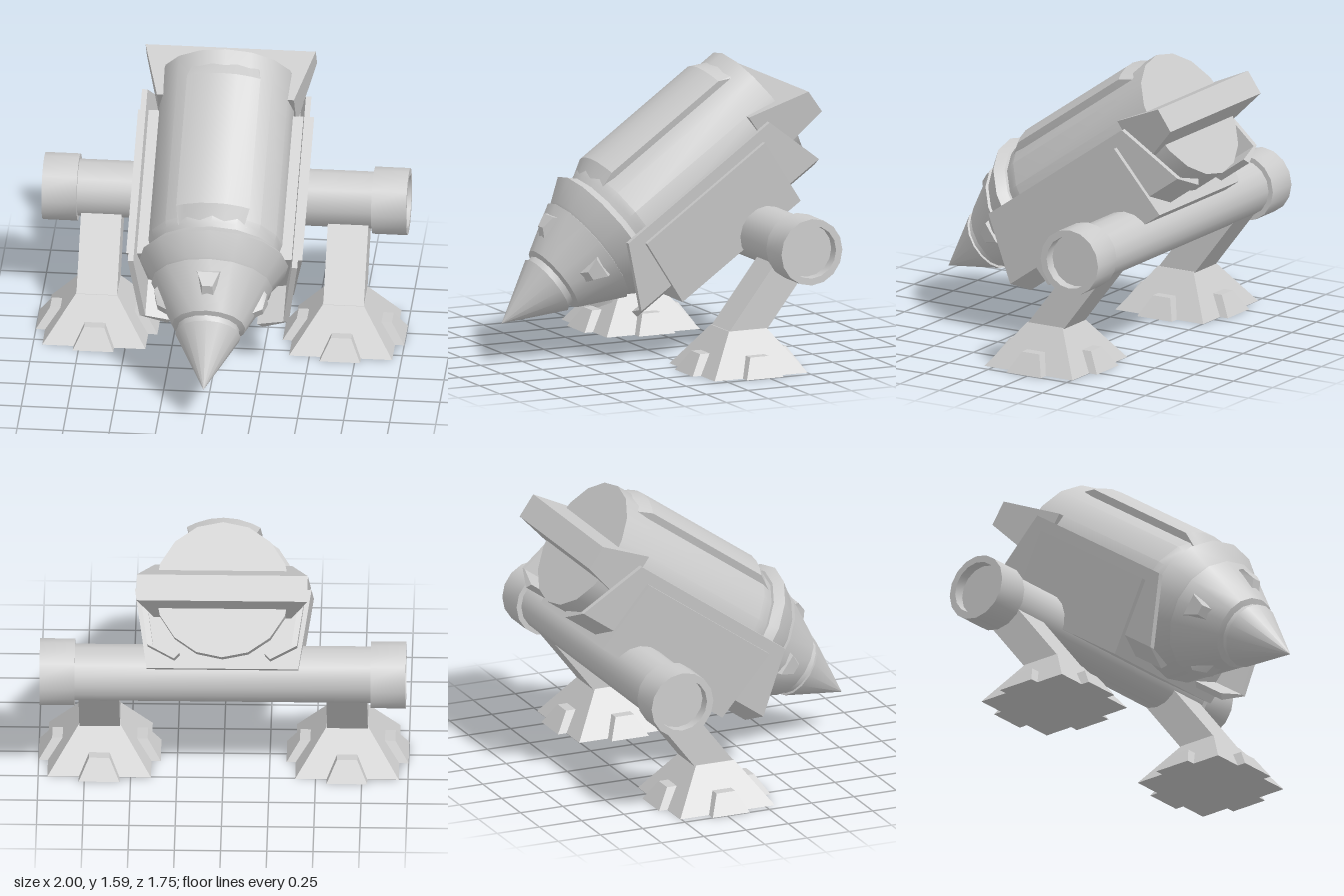
import * as THREE from 'three';
import { toCreasedNormals } from 'three/addons/utils/BufferGeometryUtils.js';

const grey = new THREE.MeshStandardMaterial({ color: 0xcccccc });
const lerp = THREE.MathUtils.lerp;
const rad = THREE.MathUtils.degToRad;

function add(parent, name, geometry, material = grey) {
  const mesh = new THREE.Mesh(geometry, material);
  mesh.name = name;
  parent.add(mesh);
  return mesh;
}

// Six-sided block: rule(u, v, w) places each corner, with u, v, w being 0 or 1 along x, y, z
function block(rule) {
  const geometry = new THREE.BoxGeometry(1, 1, 1);
  const p = geometry.attributes.position;
  for (let i = 0; i < p.count; i++) {
    p.setXYZ(i, ...rule(p.getX(i) + 0.5, p.getY(i) + 0.5, p.getZ(i) + 0.5));
  }
  geometry.computeVertexNormals();
  return geometry;
}

// Turned solid from [radius, height] pairs, smooth around and sharp at rims
function turned(points, sides = 16) {
  const profile = points.map(([r, y]) => new THREE.Vector2(r, y));
  return toCreasedNormals(new THREE.LatheGeometry(profile, sides), 0.45);
}

// Tilted body: local +z points to the drill tip, which is the origin
function createBody() {
  const body = new THREE.Group();
  body.name = 'body';
  body.position.set(0, 0.22, 0.875);
  body.rotation.x = rad(35);

  const along = (points) => turned(points).rotateX(-Math.PI / 2);
  add(body, 'drillTip', along([[0, 0], [0.178, 0.33], [0.16, 0.335]]));
  add(body, 'noseCone', along([[0.165, 0.32], [0.168, 0.368], [0.199, 0.38], [0.33, 0.628], [0.31, 0.635]]));
  add(body, 'collar', along([[0.31, 0.63], [0.325, 0.645], [0.404, 0.765], [0.36, 0.808], [0.34, 0.81]]));
  add(body, 'hull', along([[0.34, 0.8], [0.355, 0.84], [0.366, 0.88], [0.366, 1.874], [0, 1.874]]));

  // Raised panel along the top of the hull, ramped at both ends
  const angles = [-32, -30, -22.5, -11, 0, 11, 22.5, 30, 32];
  const rings = [[0.84, 0.345], [0.932, 0.399], [1.714, 0.399], [1.8, 0.355]];
  const panel = new THREE.PlaneGeometry(1, 1, 8, 3);
  const p = panel.attributes.position;
  for (let i = 0; i < p.count; i++) {
    const column = i % 9;
    const [s, r] = rings[3 - Math.floor(i / 9)];
    const radius = column === 0 || column === 8 ? 0.35 : r;
    const a = rad(angles[column]);
    p.setXYZ(i, radius * Math.sin(a), radius * Math.cos(a), -s);
  }
  const doubleGrey = grey.clone();
  doubleGrey.side = THREE.DoubleSide;
  add(body, 'topPanel', toCreasedNormals(panel, 0.3), doubleGrey);

  // Four wedge windows around the nose
  for (let k = 0; k < 4; k++) {
    const nose = add(body, 'noseWindow', block((u, v, w) => {
      const half = lerp(0.075, 0.035, w) * lerp(1, 0.8, v);
      const s = v ? lerp(0.56, 0.485, w) : lerp(0.6, 0.43, w);
      const h = v ? lerp(0.306, 0.286, w) : lerp(0.27, 0.18, w);
      return [lerp(-half, half, u), h, -s];
    }));
    nose.rotation.z = (k * Math.PI) / 2;
  }

  // Underslung housing, narrower at the bottom
  add(body, 'housing', block((u, v, w) => {
    const half = lerp(0.41, 0.478, v);
    return [lerp(-half, half, u), lerp(-0.416, 0.015, v), -lerp(1.66, 0.795, w)];
  }));

  // Side armour: upright plate and a lower lip folded inwards
  for (const side of [-1, 1]) {
    const across = (u, x, t) => side * (x - (side * (u - 0.5) > 0 ? 0 : t));
    add(body, 'sidePlate', block((u, v, w) => [
      across(u, lerp(0.405, 0.46, v), 0.03),
      lerp(-0.3, 0.08, v),
      -(v ? lerp(1.751, 0.716, w) : lerp(1.877, 0.577, w)),
    ]));
    add(body, 'sidePlateLip', block((u, v, w) => [
      across(u, lerp(0.26, 0.405, v), 0.03),
      lerp(-0.375, -0.3, v) + (side * (u - 0.5) > 0 ? 0 : 0.03 * (1 - v)),
      -lerp(1.877, 0.577, w),
    ]));
  }

  // Flared bar across the rear
  add(body, 'rearBar', block((u, v, w) => {
    const half = lerp(0.462, 0.372, w);
    const h = lerp(0.07, 0.142, w);
    return [lerp(-half, half, u), lerp(-h, h, v), -lerp(2.027, 1.694, w)];
  }));
  return body;
}

// Cross axle with hollow end caps
function createAxle() {
  const half = [[0.155, 0.8], [0.183, 0.8], [0.183, 0.99], [0.145, 0.99], [0.145, 0.93], [0, 0.93]];
  const mirrored = half.map(([r, y]) => [r, -y]).reverse();
  const axle = new THREE.Mesh(turned([...mirrored, ...half]).rotateZ(-Math.PI / 2), grey);
  axle.name = 'axle';
  axle.position.set(0, 0.67, -0.51);
  return axle;
}

// Leg with a slanted strut, a flared foot and four toes
function createLeg(side) {
  const leg = new THREE.Group();
  leg.name = side > 0 ? 'leftLeg' : 'rightLeg';
  leg.position.set(side * 0.67, 0, -0.225);

  add(leg, 'strut', block((u, v, w) => [
    lerp(-0.11, 0.11, u), lerp(0.22, 0.62, v), lerp(-0.115, 0.115, w) - 0.31 * v,
  ]));
  add(leg, 'foot', block((u, v, w) => {
    const half = lerp(0.28, 0.113, v);
    return [lerp(-half, half, u), 0.23 * v, lerp(-half, half, w)];
  }));
  for (let k = 0; k < 4; k++) {
    const toe = add(leg, 'toe', block((u, v, w) => {
      const half = lerp(0.11, 0.055, v);
      return [lerp(-half, half, u), 0.108 * v, lerp(0.1, lerp(0.33, 0.258, v), w)];
    }));
    toe.rotation.y = (k * Math.PI) / 2;
  }
  return leg;
}

export function createModel() {
  const model = new THREE.Group();
  model.name = 'drillMachine';
  model.add(createBody(), createAxle(), createLeg(1), createLeg(-1));
  return model;
}
